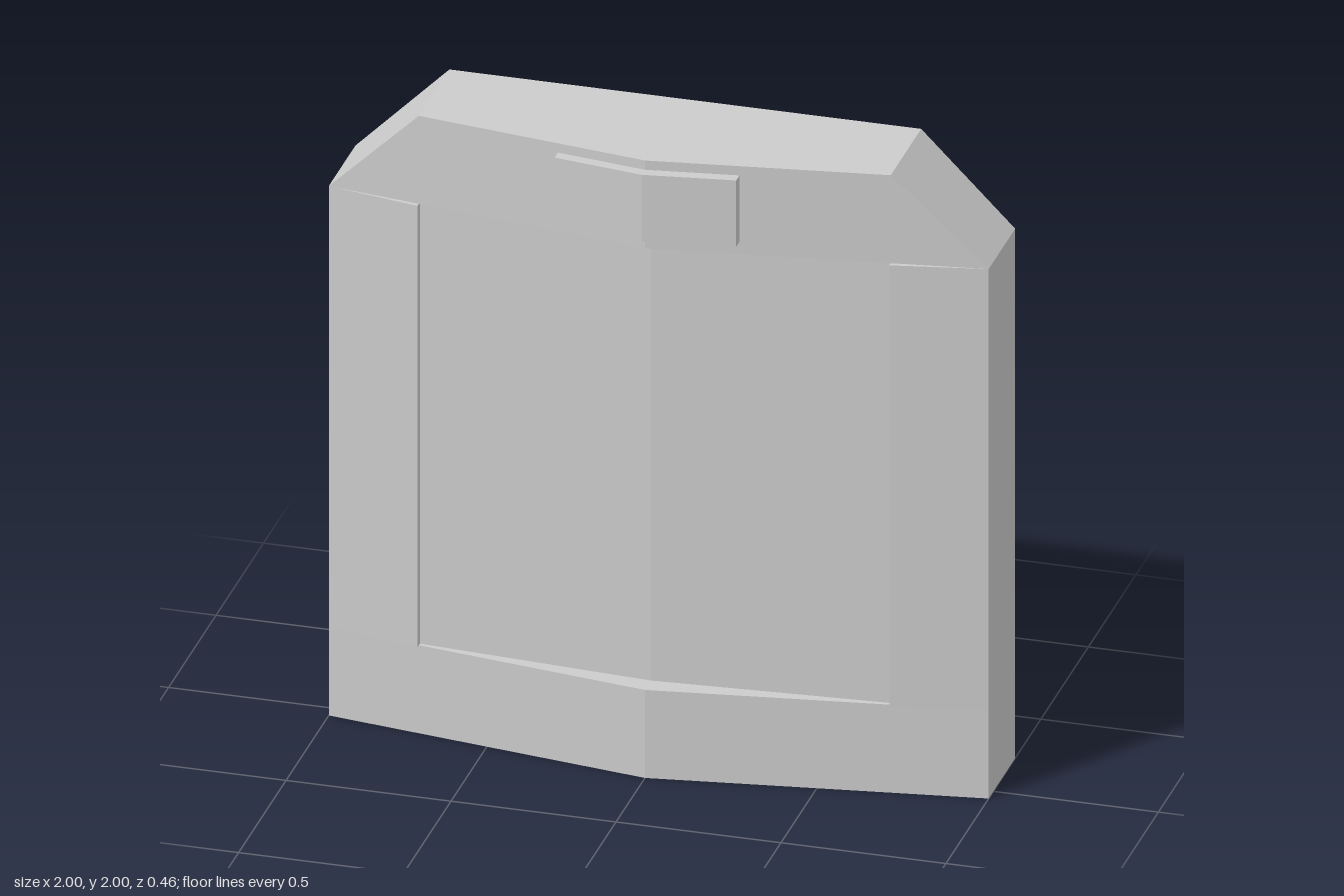
import * as THREE from 'three';

const material = new THREE.MeshStandardMaterial({ color: 0xcccccc, flatShading: true });

// Upright prism from a plan outline of [x, z] points, between two heights
function prism(name, plan, y0, y1) {
  const shape = new THREE.Shape(plan.map(([x, z]) => new THREE.Vector2(x, -z)));
  const geometry = new THREE.ExtrudeGeometry(shape, { depth: y1 - y0, bevelEnabled: false });
  geometry.rotateX(-Math.PI / 2).translate(0, y0, 0);
  const mesh = new THREE.Mesh(geometry, material);
  mesh.name = name;
  return mesh;
}

export function createModel() {
  const group = new THREE.Group();
  group.name = 'framedPanel';

  const low = 0.285, high = 1.715, inner = 0.715;
  const back = -0.23, peak = 0.195, edge = 0.05;
  const slope = peak - edge;
  const railPlan = [[-1, back], [1, back], [1, edge], [0, peak], [-1, edge]];

  // Bottom rail with a shallow pointed front
  group.add(prism('bottomRail', railPlan, 0, low));

  // Top rail: its upper ends are drawn in to cut the corners
  const topRail = prism('topRail', railPlan, high, 2);
  const p = topRail.geometry.attributes.position;
  for (let i = 0; i < p.count; i++) {
    if (p.getY(i) < 1.99 || Math.abs(p.getX(i)) < 0.5) continue;
    p.setX(i, Math.sign(p.getX(i)) * inner);
    if (p.getZ(i) > 0) p.setZ(i, peak - slope * inner);
  }
  topRail.geometry.computeVertexNormals();
  group.add(topRail);

  // Side posts, angled slightly forward towards the panel
  for (const [name, s] of [['leftPost', 1], ['rightPost', -1]]) {
    const plan = [[s, back], [s, edge], [s * inner, 0.106], [s * inner, -0.173]];
    group.add(prism(name, plan, low, high));
  }

  // Thin folded panel, open pocket behind it
  const fold = 0.13, rim = 0.08, t = 0.008;
  group.add(prism('panel', [
    [-inner, rim], [0, fold], [inner, rim],
    [inner, rim - t], [0, fold - t], [-inner, rim - t],
  ], low, high));

  // Raised plate on the top rail
  const w = 0.275, raise = 0.035, side = peak - slope * w;
  group.add(prism('plate', [
    [-w, side], [0, peak], [w, side],
    [w, side + raise], [0, peak + raise], [-w, side + raise],
  ], 1.755, 1.97));

  return group;
}
